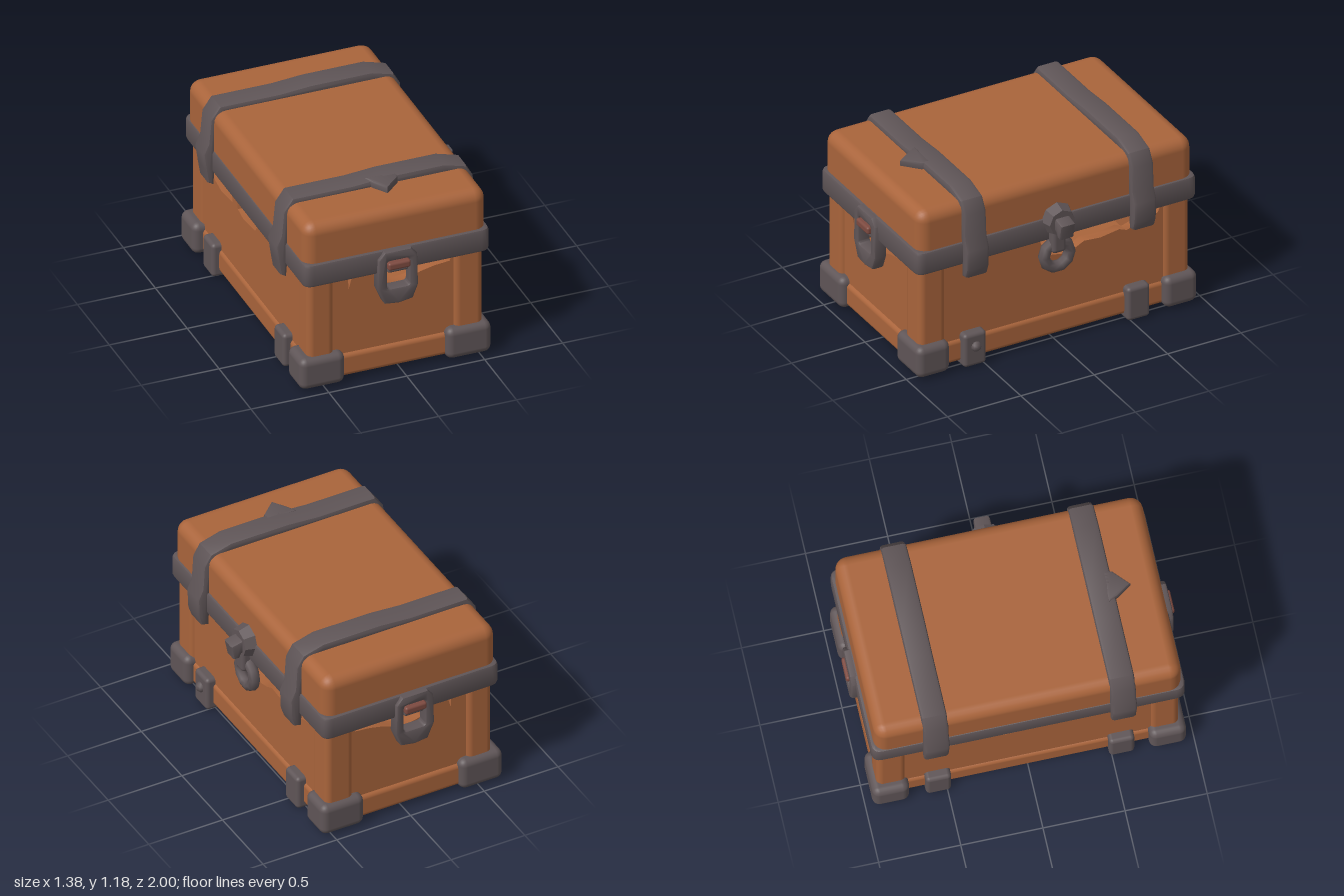
import * as THREE from 'three';
import { RoundedBoxGeometry } from 'three/addons/geometries/RoundedBoxGeometry.js';
import { toCreasedNormals } from 'three/addons/utils/BufferGeometryUtils.js';

const colour = (name, hex) => {
  const m = new THREE.MeshStandardMaterial({ color: hex });
  m.name = name;
  return m;
};

const shapeOf = (pts) => new THREE.Shape(pts.map(([x, y]) => new THREE.Vector2(x, y)));

function roundedRect(x0, x1, y0, y1, r, Type = THREE.Shape) {
  const s = new Type();
  s.moveTo(x0 + r, y0);
  s.lineTo(x1 - r, y0);
  s.quadraticCurveTo(x1, y0, x1, y0 + r);
  s.lineTo(x1, y1 - r);
  s.quadraticCurveTo(x1, y1, x1 - r, y1);
  s.lineTo(x0 + r, y1);
  s.quadraticCurveTo(x0, y1, x0, y1 - r);
  s.lineTo(x0, y0 + r);
  s.quadraticCurveTo(x0, y0, x0 + r, y0);
  return s;
}

// Extrusion centred on its depth, with a soft bevel kept inside the outline
function slab(shape, depth, bevel = 0) {
  const g = new THREE.ExtrudeGeometry(shape, {
    depth: depth - 2 * bevel, bevelEnabled: bevel > 0, bevelSize: bevel,
    bevelThickness: bevel, bevelOffset: -bevel, bevelSegments: 2, curveSegments: 5,
  });
  g.translate(0, 0, bevel - depth / 2);
  return toCreasedNormals(g, 0.7);
}

export function createModel() {
  const root = new THREE.Group();
  root.name = 'chest';
  const wood = colour('brown wood', 0xa9643b);
  const iron = colour('dark iron', 0x5f5557);
  const rust = colour('rusty pin', 0x7d4a40);

  const add = (name, geometry, material, parent = root) => {
    const m = new THREE.Mesh(geometry, material);
    m.name = name;
    parent.add(m);
    return m;
  };
  // Rounded block given by its limits
  const block = (name, mat, [x0, x1], [y0, y1], [z0, z1], r, parent) => {
    const g = new RoundedBoxGeometry(x1 - x0, y1 - y0, z1 - z0, 3, r);
    g.translate((x0 + x1) / 2, (y0 + y1) / 2, (z0 + z1) / 2);
    return add(name, g, mat, parent);
  };

  // Base and corner posts
  block('base', wood, [-0.6, 0.52], [0.03, 0.185], [-0.915, 0.915], 0.03);
  for (const s of [-1, 1]) {
    const z = s > 0 ? [0.74, 0.92] : [-0.92, -0.74];
    block('cornerPost', wood, [-0.6, -0.43], [0.1, 0.77], z, 0.04);
    block('cornerPost', wood, [0.34, 0.525], [0.1, 0.77], z, 0.04);
  }

  // Side walls with broken upper edges, outlined in (z, y)
  const leftWall = [[-0.85, 0.12], [0.85, 0.12], [0.85, 0.77], [0.12, 0.77], [0.08, 0.66], [0.03, 0.58],
    [-0.08, 0.56], [-0.15, 0.58], [-0.21, 0.61], [-0.32, 0.6], [-0.45, 0.62], [-0.5, 0.6],
    [-0.63, 0.64], [-0.71, 0.66], [-0.74, 0.72], [-0.77, 0.77], [-0.85, 0.77]];
  const rightWall = [[-0.85, 0.12], [0.85, 0.12], [0.85, 0.77], [0.2, 0.77], [0.12, 0.7], [0.05, 0.61],
    [-0.14, 0.59], [-0.22, 0.61], [-0.24, 0.69], [-0.32, 0.69], [-0.3, 0.61], [-0.48, 0.59],
    [-0.62, 0.62], [-0.74, 0.69], [-0.78, 0.77], [-0.85, 0.77]];
  for (const [name, pts, x] of [['leftWall', leftWall, 0.475], ['rightWall', rightWall, -0.555]]) {
    const g = slab(shapeOf(pts), 0.06);
    g.rotateY(-Math.PI / 2);
    g.translate(x, 0, 0);
    add(name, g, wood);
  }

  // End walls with a gap behind each handle, outlined in (x, y)
  const endWall = [[-0.52, 0.12], [0.45, 0.12], [0.45, 0.77], [0.34, 0.77], [0.32, 0.67], [0.22, 0.66],
    [0.13, 0.64], [0.05, 0.61], [-0.04, 0.6], [-0.13, 0.62], [-0.15, 0.71], [-0.3, 0.73],
    [-0.33, 0.62], [-0.34, 0.77], [-0.52, 0.77]];
  for (const s of [-1, 1]) {
    const g = slab(shapeOf(endWall), 0.06);
    g.translate(0, 0, s * 0.865);
    add(s > 0 ? 'frontWall' : 'backWall', g, wood);
  }

  // Lid
  block('lid', wood, [-0.625, 0.545], [0.75, 1.135], [-0.935, 0.935], 0.075);

  // Iron band round the rim
  const ring = roundedRect(-0.635, 0.56, -0.955, 0.955, 0.06);
  ring.holes.push(roundedRect(-0.55, 0.475, -0.87, 0.87, 0.03, THREE.Path));
  const band = slab(ring, 0.155, 0.02);
  band.rotateX(-Math.PI / 2);
  band.translate(0, 0.795, 0);
  add('rimBand', band, iron);

  // Straps bent over the lid
  const strap = shapeOf([[-0.625, 0.63], [-0.66, 0.65], [-0.675, 0.74], [-0.69, 0.85], [-0.66, 0.92],
    [-0.645, 1.08], [-0.585, 1.165], [-0.2, 1.165], [0, 1.18], [0.39, 1.18], [0.53, 1.14], [0.575, 1.06],
    [0.585, 0.9], [0.615, 0.83], [0.61, 0.7], [0.59, 0.64], [0.54, 0.63], [0.535, 0.8], [0.51, 1.05],
    [0.42, 1.11], [-0.5, 1.11], [-0.59, 1.05], [-0.61, 0.8]]);
  for (const s of [-1, 1]) {
    const g = slab(strap, 0.155, 0.02);
    g.translate(0, 0, s * 0.57);
    add('lidStrap', g, iron);
  }
  // Pointed tab on the front strap
  const tab = slab(shapeOf([[-0.11, -0.6], [-0.08, -0.66], [-0.02, -0.75], [0.08, -0.66], [0.1, -0.6]]), 0.07, 0.015);
  tab.rotateX(-Math.PI / 2);
  tab.translate(0, 1.145, 0);
  add('strapTab', tab, iron);

  // Corner shoes and small brackets at the foot
  for (const s of [-1, 1]) {
    const z = s > 0 ? [0.73, 0.955] : [-0.955, -0.73];
    block('cornerShoe', iron, [-0.66, -0.37], [0.01, 0.22], z, 0.045);
    block('cornerShoe', iron, [0.28, 0.57], [0.01, 0.22], z, 0.045);
    const zb = s > 0 ? [0.485, 0.64] : [-0.63, -0.475];
    block('footBracket', iron, [-0.645, -0.52], [0, 0.225], zb, 0.025);
    block('footBracket', iron, [0.44, 0.565], [0, 0.225], zb, 0.025);
  }
  const stud = add('bracketStud', new THREE.SphereGeometry(0.035, 8, 6), iron);
  stud.position.set(0.56, 0.135, 0.56);

  // Handles on both ends
  for (const s of [-1, 1]) {
    const handle = new THREE.Group();
    handle.name = s > 0 ? 'frontHandle' : 'backHandle';
    root.add(handle);
    const frame = shapeOf([[-0.13, 0.515], [-0.04, 0.505], [0.05, 0.52], [0.085, 0.61], [0.08, 0.82],
      [0.04, 0.87], [-0.13, 0.87], [-0.17, 0.82], [-0.175, 0.62]]);
    frame.holes.push(roundedRect(-0.115, 0.03, 0.615, 0.805, 0.02, THREE.Path));
    const g = slab(frame, 0.085, 0.015);
    g.translate(0, 0, s * 0.94);
    add('handleFrame', g, iron, handle);
    const z = (a, b) => (s > 0 ? [a, b] : [-b, -a]);
    block('handleMount', iron, [-0.11, 0.025], [0.72, 0.78], z(0.92, 0.975), 0.015, handle);
    block('handlePin', rust, [-0.115, 0.03], [0.75, 0.8], z(0.94, 1), 0.015, handle);
  }

  // Latch with hanging ring
  const latch = new THREE.Group();
  latch.name = 'latch';
  root.add(latch);
  const plate = new THREE.CylinderGeometry(0.085, 0.11, 0.08, 8);
  plate.rotateZ(-Math.PI / 2);
  plate.translate(0.575, 0.85, 0);
  add('latchPlate', toCreasedNormals(plate, 0.6), iron, latch);
  const hook = slab(shapeOf([[0.56, 0.81], [0.62, 0.8], [0.635, 0.77], [0.67, 0.77], [0.69, 0.87],
    [0.63, 0.885], [0.56, 0.9]]), 0.1, 0.015);
  add('latchHook', hook, iron, latch);
  block('latchStem', iron, [0.54, 0.61], [0.64, 0.82], [-0.035, 0.06], 0.025, latch);
  const loop = new THREE.TorusGeometry(0.088, 0.037, 8, 10);
  loop.rotateY(Math.PI / 2);
  loop.translate(0.555, 0.61, 0.005);
  add('latchRing', loop, iron, latch);

  return root;
}
